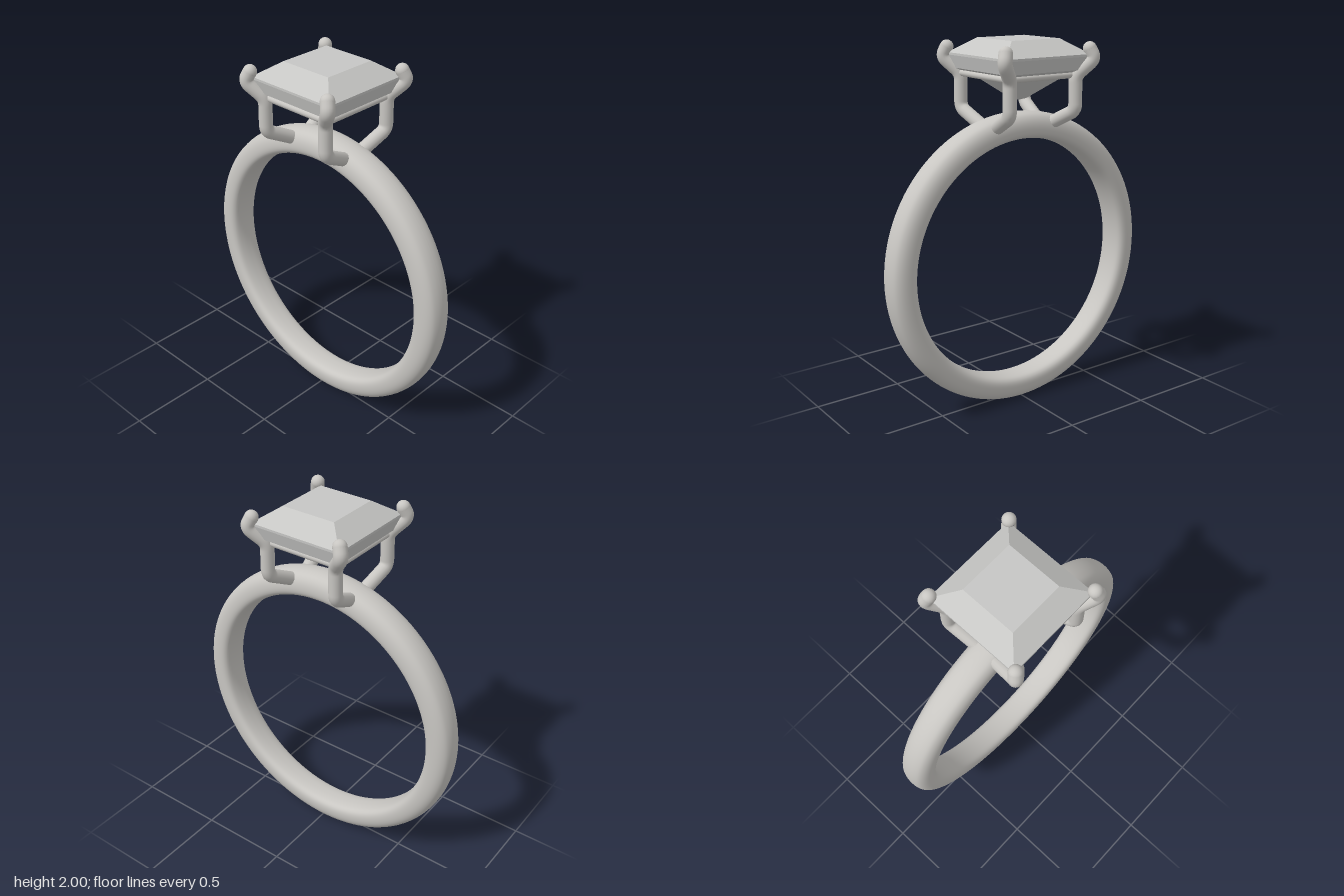
import * as THREE from 'three';

const CZ = -0.011; // depth centre of the ring
const V = (x, y, z) => new THREE.Vector3(x, y, z);

function addMesh(parent, name, geometry, material) {
  const mesh = new THREE.Mesh(geometry, material);
  mesh.name = name;
  parent.add(mesh);
  return mesh;
}

// straight runs joined by small rounded bends
function bentPath(points, radius) {
  const path = new THREE.CurvePath();
  let from = points[0];
  for (let i = 1; i < points.length - 1; i++) {
    const p = points[i];
    const toward = q => p.clone().add(q.clone().sub(p).setLength(Math.min(radius, q.distanceTo(p) * 0.48)));
    const a = toward(points[i - 1]), b = toward(points[i + 1]);
    path.add(new THREE.LineCurve3(from, a));
    path.add(new THREE.QuadraticBezierCurve3(a, p, b));
    from = b;
  }
  path.add(new THREE.LineCurve3(from, points[points.length - 1]));
  return path;
}

// comfort-fit band, slightly wider towards the setting
function bandGeometry() {
  const half = [[0.81, 0], [0.807, 0.03], [0.795, 0.06], [0.768, 0.08], [0.73, 0.088],
    [0.697, 0.084], [0.678, 0.068], [0.669, 0.035]];
  const loop = [
    ...half.map(([r, z]) => V(r, z, 0)),
    V(0.667, 0, 0),
    ...half.slice(1).reverse().map(([r, z]) => V(r, -z, 0)),
  ];
  const profile = new THREE.CatmullRomCurve3(loop, true).getPoints(48)
    .map(p => new THREE.Vector2(p.x, p.y));
  const geometry = new THREE.LatheGeometry(profile, 128);
  geometry.rotateX(Math.PI / 2);
  const pos = geometry.attributes.position;
  for (let i = 0; i < pos.count; i++) {
    pos.setZ(i, pos.getZ(i) * (1 + 0.07 * pos.getY(i) / 0.81));
  }
  return geometry;
}

// square cut stone: flat table, sloped crown, thin girdle, stepped pavilion
function stoneGeometry() {
  const steps = [[0, 1.68], [0.03, 1.69], [0.165, 1.803], [0.247, 1.843], [0.265, 1.91],
    [0.265, 1.922], [0.152, 2.0], [0, 2.0]];
  const profile = steps.map(([h, y]) => new THREE.Vector2(h * Math.SQRT2, y));
  const geometry = new THREE.LatheGeometry(profile, 4).rotateY(Math.PI / 4).toNonIndexed();
  geometry.computeVertexNormals();
  return geometry;
}

export function createModel() {
  const model = new THREE.Group();
  model.name = 'ring';
  const metal = new THREE.MeshStandardMaterial({ color: 0xc8c6c2 });
  metal.name = 'polished metal';
  const gem = new THREE.MeshStandardMaterial({ color: 0xc6c6c4 });
  gem.name = 'pale stone';

  addMesh(model, 'band', bandGeometry(), metal).position.set(0, 0.81, CZ);
  addMesh(model, 'stone', stoneGeometry(), gem).position.z = CZ - 0.003;

  // four claws rising from the band and hooking over the stone's corners
  const setting = new THREE.Group();
  setting.name = 'setting';
  setting.position.z = CZ + 0.004;
  model.add(setting);
  const r = 0.036;
  for (const sx of [-1, 1]) {
    for (const sz of [-1, 1]) {
      const points = [
        [0.185, 1.558, 0.075], [0.21, 1.632, 0.222], [0.208, 1.812, 0.222],
        [0.284, 1.9, 0.284], [0.264, 1.951, 0.266],
      ].map(([x, y, z]) => V(x * sx, y, z * sz));
      const claw = new THREE.Group();
      claw.name = (sz > 0 ? 'front' : 'back') + (sx > 0 ? 'Left' : 'Right') + 'Claw';
      setting.add(claw);
      addMesh(claw, 'clawWire', new THREE.TubeGeometry(bentPath(points, 0.035), 64, r, 16), metal);
      for (const [name, p] of [['clawFoot', points[0]], ['clawTip', points[4]]]) {
        addMesh(claw, name, new THREE.SphereGeometry(r, 16, 12), metal).position.copy(p);
      }
    }
  }

  // square gallery rail tying the claws together under the stone
  for (let i = 0; i < 4; i++) {
    const bar = new THREE.CylinderGeometry(0.018, 0.018, 0.43, 12);
    bar.rotateZ(Math.PI / 2).translate(0, 1.817, 0.216).rotateY(i * Math.PI / 2);
    addMesh(setting, 'galleryRail', bar, metal);
  }
  return model;
}
